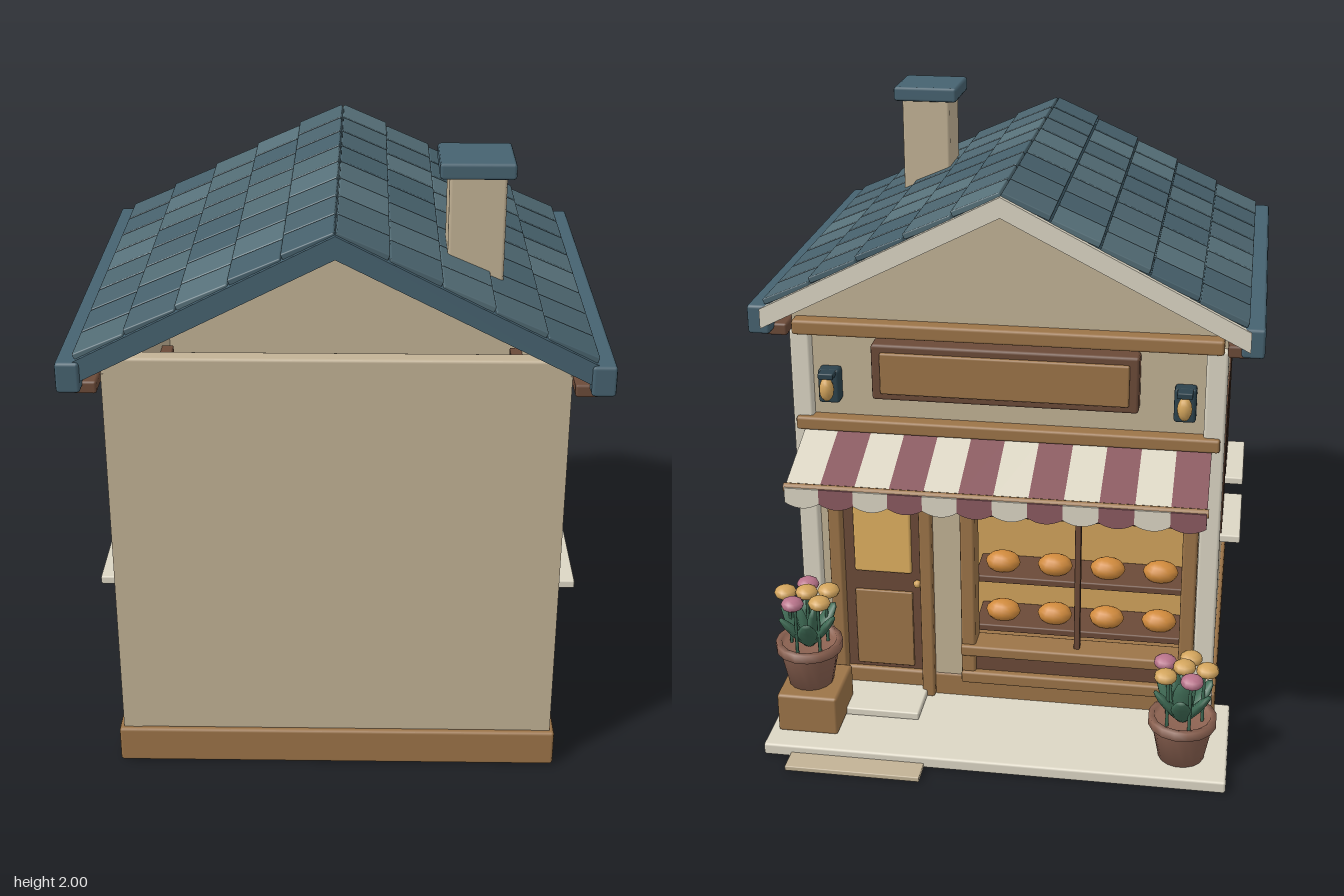
import * as THREE from 'three';
import { RoundedBoxGeometry } from 'three/addons/geometries/RoundedBoxGeometry.js';

const C = {
  wall: 0xc2b295, cream: 0xdcd6c4, wood: 0x9c7448, dark: 0x6b4a38, glass: 0xe0b060, blue: 0x466270,
  under: 0x2c424c, red: 0x8a5a60, pot: 0x8d6352, leaf: 0x3f6b55, bun: 0xd08a3c, pink: 0xb8738a, ochre: 0xd2a45c,
};
const TILES = [0x4d6670, 0x46606b, 0x57717a, 0x4a636d, 0x526b74];
const mats = {};
const mat = (color) => (mats[color] ??= new THREE.MeshStandardMaterial({ color, side: THREE.DoubleSide }));

function add(parent, name, geo, color, x = 0, y = 0, z = 0) {
  const m = new THREE.Mesh(geo, mat(color));
  m.name = name;
  m.position.set(x, y, z);
  parent.add(m);
  return m;
}

// softly bevelled box given by its limits
function box(parent, name, x0, x1, y0, y1, z0, z1, color) {
  const w = x1 - x0, h = y1 - y0, d = z1 - z0;
  const geo = new RoundedBoxGeometry(w, h, d, 1, Math.min(w, h, d, 0.05) * 0.2);
  return add(parent, name, geo, color, (x0 + x1) / 2, (y0 + y1) / 2, (z0 + z1) / 2);
}

const rect = (S, x0, x1, y0, y1) => new S([[x0, y0], [x1, y0], [x1, y1], [x0, y1]].map((p) => new THREE.Vector2(...p)));
const extrude = (shape, depth) => new THREE.ExtrudeGeometry(shape, { depth, bevelEnabled: false });
function panel(x0, x1, y0, y1, depth, holes) {
  const s = rect(THREE.Shape, x0, x1, y0, y1);
  for (const h of holes) s.holes.push(rect(THREE.Path, ...h));
  return extrude(s, depth);
}

// inverted V following the roof pitch
const PITCH = 0.51;
function chevron(parent, name, apex, half, thick, z0, z1, color) {
  const e = apex - half * PITCH;
  const s = new THREE.Shape([[0, apex], [-half, e], [-half, e - thick], [0, apex - thick], [half, e - thick], [half, e]]
    .map((p) => new THREE.Vector2(...p)));
  add(parent, name, extrude(s, z1 - z0), color, 0, 0, z0);
}

function pottedPlant(x, y, z, turn) {
  const g = new THREE.Group();
  g.name = 'pottedPlant';
  const profile = [[0, 0], [0.075, 0], [0.1, 0.125], [0.112, 0.125], [0.112, 0.155], [0.092, 0.155], [0.088, 0.135], [0, 0.135]];
  add(g, 'pot', new THREE.LatheGeometry(profile.map((p) => new THREE.Vector2(...p)), 16), C.pot);
  for (let i = 0; i < 9; i++) {
    const outer = i < 6, a = (i * Math.PI) / (outer ? 3 : 1.5);
    const tilt = outer ? 0.65 : 0.2;
    const leaf = add(g, 'leaf', new THREE.SphereGeometry(1, 8, 6).scale(0.034, 0.085, 0.016).translate(0, 0.085, 0), C.leaf, 0, 0.13, 0);
    leaf.rotation.set(tilt, a, 0, 'YXZ');
    const r = i < 5 ? 0.075 : 0;
    if (i < 6) {
      const b = i * 1.257 + 0.3, top = i < 5 ? 0.325 : 0.335;
      add(g, 'flower', new THREE.SphereGeometry(1, 10, 6).scale(0.038, 0.024, 0.038), i % 3 === 1 ? C.pink : C.ochre, r * Math.cos(b), top, r * Math.sin(b));
      add(g, 'stem', new THREE.CylinderGeometry(0.006, 0.006, 0.19, 5), C.leaf, r * 0.85 * Math.cos(b), 0.225, r * 0.85 * Math.sin(b));
    }
  }
  g.position.set(x, y, z);
  g.rotation.y = turn;
  return g;
}

// side window with deep frame, set in the wall at side s
function sideWindow(s, z) {
  const g = new THREE.Group();
  g.name = 'sideWindow';
  for (const e of [-1, 1]) box(g, 'frameJamb', 0.6, 0.706, 0.6, 1.09, z + e * 0.144 - 0.011, z + e * 0.144 + 0.011, C.dark);
  box(g, 'frameHead', 0.6, 0.706, 1.065, 1.09, z - 0.155, z + 0.155, C.dark);
  box(g, 'frameFoot', 0.6, 0.706, 0.6, 0.615, z - 0.155, z + 0.155, C.dark);
  box(g, 'glass', 0.615, 0.625, 0.63, 1.05, z - 0.12, z + 0.12, C.glass);
  box(g, 'mullion', 0.61, 0.64, 0.615, 1.065, z - 0.008, z + 0.008, C.dark);
  box(g, 'sill', 0.66, 0.77, 0.582, 0.61, z - 0.17, z + 0.17, C.cream);
  g.scale.x = s;
  return g;
}

export function createModel() {
  const g = new THREE.Group();
  g.name = 'bakeryShop';

  // base, back and pierced side walls
  box(g, 'plinth', -0.715, 0.715, 0, 0.125, -0.425, 0.785, C.wood);
  box(g, 'backWall', -0.7, 0.7, 0.12, 1.45, 0.71, 0.77, C.wall);
  const sideHoles = [0.46, -0.015].map((z) => [-z - 0.168, -z + 0.168, 0.55, 1.082]);
  for (const s of [-1, 1]) {
    const w = add(g, 'sideWall', panel(-0.77, 0.42, 0.12, 1.4, 0.06, sideHoles), C.wall, s > 0 ? 0.64 : -0.7);
    w.rotation.y = Math.PI / 2;
    for (const z of [0.455, -0.015]) g.add(sideWindow(s, z));
    box(g, 'wallPlate', s * 0.735 - 0.035, s * 0.735 + 0.035, 1.37, 1.41, -0.48, 0.85, C.dark);
    box(g, 'cornerPost', s * 0.67 - 0.034, s * 0.67 + 0.034, 0.04, 1.38, -0.45, -0.4, C.cream);
    box(g, 'eaveBeam', s * 0.777 - 0.036, s * 0.777 + 0.036, 1.39, 1.485, -0.53, 0.89, C.blue);
  }

  // shop front with gable
  add(g, 'frontWall', panel(-0.7, 0.7, 0.12, 1.44, 0.05, [[0.28, 0.58, 0.12, 0.92], [-0.61, 0.13, 0.26, 0.92]]), C.wall, 0, 0, -0.42);
  const gable = new THREE.Shape([[-0.7, 1.43], [0.7, 1.43], [0, 1.82]].map((p) => new THREE.Vector2(...p)));
  add(g, 'gable', extrude(gable, 0.04), C.wall, 0, 0, -0.42);
  box(g, 'upperBeam', -0.69, 0.69, 1.37, 1.42, -0.47, -0.41, C.wood);
  box(g, 'awningBeam', -0.69, 0.69, 1.04, 1.085, -0.47, -0.41, C.wood);
  box(g, 'signFrame', -0.43, 0.43, 1.165, 1.355, -0.48, -0.41, C.dark);
  box(g, 'signBoard', -0.4, 0.4, 1.19, 1.33, -0.492, -0.46, C.wood);

  // door
  for (const x of [0.275, 0.585]) box(g, 'doorJamb', x - 0.022, x + 0.022, 0.04, 0.95, -0.45, -0.36, C.wood);
  box(g, 'doorHead', 0.255, 0.607, 0.91, 0.95, -0.45, -0.36, C.wood);
  box(g, 'door', 0.29, 0.57, 0.06, 0.92, -0.41, -0.38, C.dark);
  box(g, 'doorGlass', 0.33, 0.53, 0.5, 0.87, -0.418, -0.37, C.glass);
  box(g, 'doorPanel', 0.33, 0.53, 0.14, 0.43, -0.42, -0.4, C.wood);
  add(g, 'doorKnob', new THREE.SphereGeometry(0.014, 8, 6), C.ochre, 0.31, 0.47, -0.425);

  // display window
  for (const x of [-0.61, 0.13]) box(g, 'displayJamb', x - 0.025, x + 0.025, 0.12, 0.95, -0.46, -0.37, C.wood);
  box(g, 'displayHead', -0.635, 0.155, 0.91, 0.95, -0.46, -0.37, C.wood);
  box(g, 'displaySill', -0.635, 0.155, 0.23, 0.27, -0.475, -0.37, C.wood);
  box(g, 'displayBase', -0.6, 0.12, 0.12, 0.23, -0.445, -0.39, C.dark);
  box(g, 'displayFoot', -0.635, 0.155, 0.12, 0.165, -0.47, -0.39, C.wood);
  box(g, 'displayMullion', -0.25, -0.23, 0.26, 0.92, -0.44, -0.41, C.dark);
  box(g, 'displayTransom', -0.6, 0.12, 0.75, 0.768, -0.44, -0.41, C.dark);
  box(g, 'displayBack', -0.63, 0.15, 0.2, 0.95, -0.215, -0.2, C.ochre);
  for (const y of [0.28, 0.47]) {
    box(g, 'shelf', -0.6, 0.12, y, y + 0.025, -0.38, -0.215, C.dark);
    for (let i = 0; i < 4; i++) {
      add(g, 'bun', new THREE.SphereGeometry(1, 12, 8).scale(0.06, 0.038, 0.045), C.bun, 0.03 - i * 0.18, y + 0.055, -0.32);
    }
  }

  // striped awning with hanging valance, rod and stays
  const slope = Math.atan2(0.09, 0.26), stripe = 1.33 / 12;
  for (let i = 0; i < 12; i++) {
    const x = -0.665 + (i + 0.5) * stripe, color = i % 2 ? C.cream : C.red;
    const top = add(g, 'awningStripe', new THREE.PlaneGeometry(stripe, 0.275).rotateX(-Math.PI / 2), color, x, 0.995, -0.58);
    top.rotation.x = -slope;
    const flap = new THREE.Shape([[-stripe / 2, 0.95], [-stripe / 2, 0.9]].map((p) => new THREE.Vector2(...p)));
    flap.quadraticCurveTo(0, 0.865, stripe / 2, 0.9);
    flap.lineTo(stripe / 2, 0.95);
    add(g, 'valance', extrude(flap, 0.014), color, x, 0, -0.724);
  }
  add(g, 'awningRod', new THREE.CylinderGeometry(0.015, 0.015, 1.34, 8).rotateZ(Math.PI / 2), C.wood, 0, 0.945, -0.705);
  for (const x of [-0.65, 0.65]) {
    const path = new THREE.LineCurve3(new THREE.Vector3(x, 0.88, -0.44), new THREE.Vector3(x, 0.945, -0.71));
    add(g, 'awningStay', new THREE.TubeGeometry(path, 1, 0.01, 6), C.dark);
  }

  // wall lamps
  for (const x of [-0.575, 0.575]) {
    box(g, 'lampPlate', x - 0.035, x + 0.035, 1.14, 1.255, -0.47, -0.415, C.under);
    box(g, 'lampCap', x - 0.025, x + 0.025, 1.235, 1.255, -0.505, -0.46, C.under);
    add(g, 'lampBulb', new THREE.SphereGeometry(1, 12, 8).scale(0.024, 0.04, 0.024), C.ochre, x, 1.198, -0.492);
  }

  // roof: deck, verges and overlapping tiles
  chevron(g, 'roofDeck', 1.86, 0.76, 0.045, -0.52, 0.87, C.under);
  chevron(g, 'frontVerge', 1.868, 0.77, 0.065, -0.535, -0.515, C.cream);
  chevron(g, 'backVerge', 1.873, 0.77, 0.07, 0.84, 0.88, C.blue);
  const angle = Math.atan(PITCH), col = 0.152, row = 0.174;
  const tileGeo = new RoundedBoxGeometry(col / Math.cos(angle) - 0.006, 0.02, row - 0.008, 1, 0.004);
  for (const s of [-1, 1]) for (let i = 0; i < 5; i++) for (let j = 0; j < 8; j++) {
    const x = (i + 0.5) * col;
    const color = TILES[(i * 7 + j * 3 + ((i * j) % 4) + (s > 0 ? 2 : 0)) % 5];
    const t = add(g, 'roofTile', tileGeo, color, s * x, 1.876 - x * PITCH, -0.522 + (j + 0.5) * row);
    t.rotation.z = -s * (angle - 0.06);
  }

  // chimney
  box(g, 'chimney', 0.33, 0.5, 1.56, 1.97, 0.4, 0.58, C.wall);
  box(g, 'chimneyCap', 0.3, 0.525, 1.95, 2, 0.375, 0.605, C.blue);

  // forecourt, steps and plants
  box(g, 'forecourt', -0.767, 0.763, 0, 0.042, -0.81, -0.35, C.cream);
  box(g, 'frontStep', 0.22, 0.67, 0, 0.018, -0.89, -0.78, C.wall);
  box(g, 'doorStep', 0.28, 0.56, 0.04, 0.068, -0.6, -0.42, C.cream);
  box(g, 'plantStand', 0.53, 0.735, 0.04, 0.18, -0.725, -0.5, C.wood);
  g.add(pottedPlant(0.645, 0.18, -0.61, 0.2), pottedPlant(-0.615, 0.04, -0.67, 1));
  return g;
}
